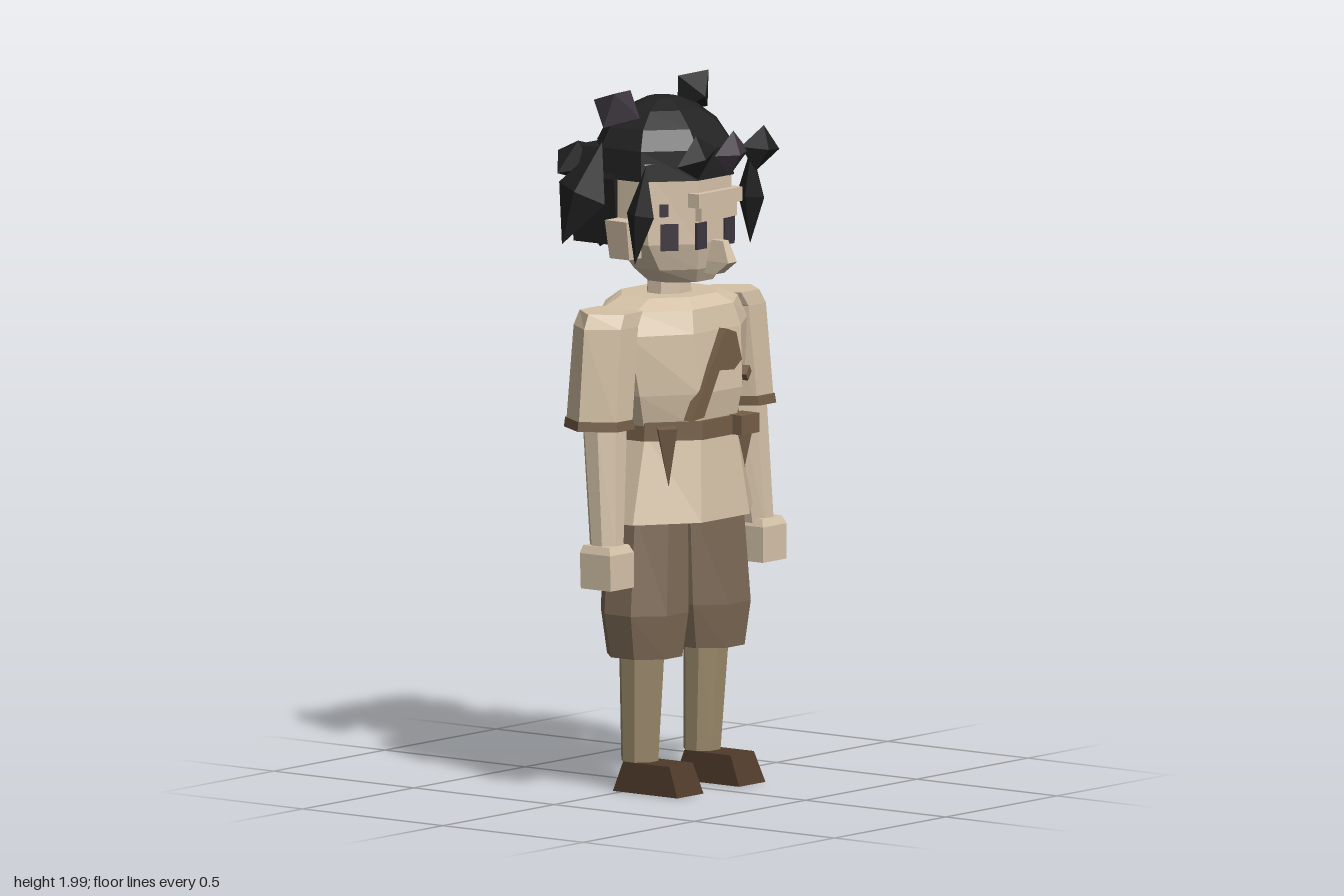
import * as THREE from 'three';

const mat = (name, color, side = THREE.FrontSide) => {
  const m = new THREE.MeshStandardMaterial({ color, flatShading: true, side });
  m.name = name;
  return m;
};

// Corner patterns for cross-sections, as fractions of half width and half depth
const OCT = [[1, -0.4], [1, 0.4], [0.4, 1], [-0.4, 1], [-1, 0.4], [-1, -0.4], [-0.4, -1], [0.4, -1]];
const HEX = [[1, 0], [0.4, 1], [-0.4, 1], [-1, 0], [-0.4, -1], [0.4, -1]];
const QUAD = [[1, -1], [1, 1], [-1, 1], [-1, -1]];

// Closed loft through rings [y, x0, x1, z0, z1], listed from bottom to top
function loft(pattern, rings) {
  const n = pattern.length, pos = [];
  const loops = rings.map(([y, x0, x1, z0, z1]) => pattern.map(([u, v]) =>
    [(x0 + x1) / 2 + u * (x1 - x0) / 2, y, (z0 + z1) / 2 + v * (z1 - z0) / 2]));
  const mid = ([y, x0, x1, z0, z1]) => [(x0 + x1) / 2, y, (z0 + z1) / 2];
  const low = mid(rings[0]), high = mid(rings[rings.length - 1]);
  const last = loops[loops.length - 1];
  for (let i = 0; i < n; i++) {
    const j = (i + 1) % n;
    for (let k = 0; k + 1 < loops.length; k++) {
      const a = loops[k], b = loops[k + 1];
      pos.push(...a[i], ...b[i], ...b[j], ...a[i], ...b[j], ...a[j]);
    }
    pos.push(...low, ...loops[0][i], ...loops[0][j], ...high, ...last[j], ...last[i]);
  }
  const g = new THREE.BufferGeometry();
  g.setAttribute('position', new THREE.Float32BufferAttribute(pos, 3));
  g.computeVertexNormals();
  return g;
}

export function createModel() {
  const root = new THREE.Group();
  root.name = 'villager';
  const skin = mat('skin', 0xd6c3aa), tunic = mat('tunic cloth', 0xd4c1a6);
  const trousers = mat('trouser cloth', 0x7d6a56), stocking = mat('stocking', 0x9c8a6c);
  const leather = mat('leather', 0x755f48), shoe = mat('shoe leather', 0x4f3a2a);
  const hair = mat('hair', 0x212121), plum = mat('plum hair and eyes', 0x3d353f);

  const add = (name, geo, m, x = 0, y = 0, z = 0, rx = 0, ry = 0, rz = 0) => {
    const mesh = new THREE.Mesh(geo, m);
    mesh.name = name;
    mesh.position.set(x, y, z);
    mesh.rotation.set(rx, ry, rz);
    root.add(mesh);
    return mesh;
  };
  // Box given by its limits
  const box = (name, m, x0, x1, y0, y1, z0, z1) => add(name,
    new THREE.BoxGeometry(x1 - x0, y1 - y0, z1 - z0), m, (x0 + x1) / 2, (y0 + y1) / 2, (z0 + z1) / 2);
  // Symmetric loft from [y, halfWidth, back, front]
  const body = (name, m, rings) => add(name, loft(OCT, rings.map(([y, h, b, f]) => [y, -h, h, b, f])), m);

  // Tunic and belt
  body('tunicSkirt', tunic, [[0.77, 0.27, -0.175, 0.215], [1.02, 0.2, -0.152, 0.19]]);
  body('tunicTorso', tunic, [[1.03, 0.205, -0.14, 0.185], [1.13, 0.235, -0.15, 0.2],
    [1.3, 0.265, -0.155, 0.185], [1.365, 0.23, -0.14, 0.17], [1.395, 0.15, -0.11, 0.135]]);
  body('belt', leather, [[1.0, 0.212, -0.162, 0.2], [1.053, 0.208, -0.158, 0.2]]);
  box('buckle', leather, 0.05, 0.13, 1.0, 1.055, 0.17, 0.232);
  for (const [x, z, lean] of [[0.172, 0.145, 0.05], [-0.172, 0.145, -0.05], [0, -0.172, 0]])
    add('beltTail', new THREE.ConeGeometry(0.038, 0.17, 4), leather, x, 0.955, z, Math.PI, 0, lean);

  // Chest strap, a bent thin band
  const strap = new THREE.Shape([[-0.145, 1.06], [-0.09, 1.065], [-0.02, 1.19], [0.045, 1.185],
    [0.08, 1.21], [0.055, 1.29], [0.01, 1.305], [-0.055, 1.21]].map(p => new THREE.Vector2(...p)));
  add('chestStrap', new THREE.ExtrudeGeometry(strap, { depth: 0.03, bevelEnabled: false }), leather, 0, 0, 0.18);
  add('strapEnd', new THREE.BoxGeometry(0.035, 0.025, 0.03), leather, 0.12, 1.165, 0.185, 0, 0.3, 0.7);

  // Limbs, mirrored
  for (const s of [1, -1]) {
    const side = s > 0 ? 'left' : 'right';
    const limb = (part, pattern, m, rings) => add(side + part, loft(pattern, rings.map(
      ([y, a, b, z0, z1]) => [y, Math.min(s * a, s * b), Math.max(s * a, s * b), z0, z1])), m);
    limb('Shoe', QUAD, shoe, [[0, 0.08, 0.198, -0.03, 0.2], [0.085, 0.085, 0.19, 0, 0.165]]);
    limb('LowerLeg', OCT, stocking, [[0.085, 0.09, 0.19, -0.03, 0.07], [0.45, 0.08, 0.21, -0.03, 0.095]]);
    limb('TrouserLeg', OCT, trousers, [[0.385, 0.04, 0.24, -0.065, 0.14],
      [0.51, 0.018, 0.262, -0.08, 0.155], [0.8, 0.015, 0.232, -0.085, 0.145]]);
    limb('Sleeve', HEX, tunic, [[1.06, 0.225, 0.41, -0.072, 0.105], [1.33, 0.19, 0.385, -0.068, 0.1],
      [1.37, 0.16, 0.365, -0.065, 0.095]]);
    limb('Cuff', HEX, leather, [[1.045, 0.222, 0.416, -0.078, 0.112], [1.072, 0.22, 0.412, -0.076, 0.109]]);
    limb('Forearm', OCT, skin, [[0.7, 0.295, 0.382, 0.015, 0.105], [1.06, 0.25, 0.378, -0.025, 0.092]]);
    limb('Hand', QUAD, skin, [[0.6, 0.29, 0.395, 0.012, 0.118], [0.7, 0.29, 0.397, 0.01, 0.118],
      [0.722, 0.3, 0.388, 0.015, 0.108]]);
    limb('Ear', QUAD, skin, [[1.51, 0.17, 0.225, -0.02, 0.05], [1.62, 0.17, 0.245, -0.022, 0.055]]);

    // Eyes and cheek marks
    box(side + 'Eye', plum, ...[s * 0.04, s * 0.084].sort((a, b) => a - b), 1.535, 1.61, 0.172, 0.181);
    add(side + 'OuterEye', new THREE.BoxGeometry(0.05, 0.075, 0.009), plum, s * 0.142, 1.572, 0.128, 0, s * 0.74, 0);
    add(side + 'TempleMark', new THREE.BoxGeometry(0.025, 0.035, 0.009), plum, s * 0.153, 1.648, 0.117, 0, s * 0.74, 0);
  }

  // Neck, head and face
  body('neck', skin, [[1.37, 0.068, -0.045, 0.072], [1.47, 0.065, -0.04, 0.07]]);
  body('head', skin, [[1.435, 0.095, -0.04, 0.14], [1.475, 0.14, -0.07, 0.16], [1.55, 0.185, -0.12, 0.175],
    [1.78, 0.192, -0.15, 0.177]]);
  box('brow', skin, -0.1, 0.095, 1.655, 1.695, 0.16, 0.2);
  box('noseBridge', skin, -0.08, 0.08, 1.615, 1.655, 0.16, 0.192);
  add('nose', loft(QUAD, [[1.46, -0.02, 0.02, 0.155, 0.195], [1.495, -0.02, 0.02, 0.16, 0.24],
    [1.555, -0.012, 0.012, 0.165, 0.215]]), skin);

  // Hair cap and back hair
  body('hairCap', hair, [[1.73, 0.203, -0.175, 0.18], [1.815, 0.198, -0.18, 0.177], [1.87, 0.165, -0.155, 0.14],
    [1.915, 0.105, -0.1, 0.085], [1.942, 0.04, -0.05, 0.03]]);
  add('backHair', loft(QUAD, [[1.54, -0.185, 0.185, -0.18, -0.025], [1.73, -0.207, 0.207, -0.184, -0.02],
    [1.81, -0.18, 0.18, -0.183, -0.03]]), hair);

  // Pointed tufts: [name, material, centre, half sizes, turn]
  const tufts = [
    ['crownTuft', plum, [-0.18, 1.925, -0.03], [0.075, 0.07, 0.075], [0.3, 0.2, 0.65]],
    ['crownTuft', hair, [0.168, 1.935, -0.035], [0.08, 0.075, 0.055], [0.2, -0.2, -0.65]],
    ['fringe', hair, [-0.135, 1.805, 0.22], [0.088, 0.065, 0.032], [0.1, 0, 0.2]],
    ['fringe', plum, [0.02, 1.8, 0.22], [0.075, 0.065, 0.032], [0.1, 0, 0]],
    ['fringe', hair, [0.148, 1.8, 0.22], [0.09, 0.065, 0.032], [0.1, 0, -0.15]],
    ['napeTuft', hair, [0, 1.555, -0.205], [0.08, 0.065, 0.045], [0.45, 0, 0]],
    ['backTuft', hair, [-0.175, 1.77, -0.185], [0.09, 0.065, 0.055], [0.4, 0.2, 0.3]],
    ['backTuft', hair, [0.19, 1.77, -0.18], [0.09, 0.065, 0.055], [0.4, -0.2, -0.3]],
  ];
  for (const s of [1, -1]) {
    tufts.push(['frontLock', hair, [s * 0.248, 1.645, 0.108], [0.026, 0.14, 0.048], [0.08, 0, s * 0.08]]);
    tufts.push(['sideLock', s > 0 ? plum : hair, [s * 0.255, 1.69, -0.095], [0.04, 0.155, 0.085], [0.3, 0, s * 0.22]]);
  }
  for (const [name, m, p, size, turn] of tufts)
    add(name, new THREE.OctahedronGeometry(1).scale(...size), m, ...p, ...turn);

  return root;
}
